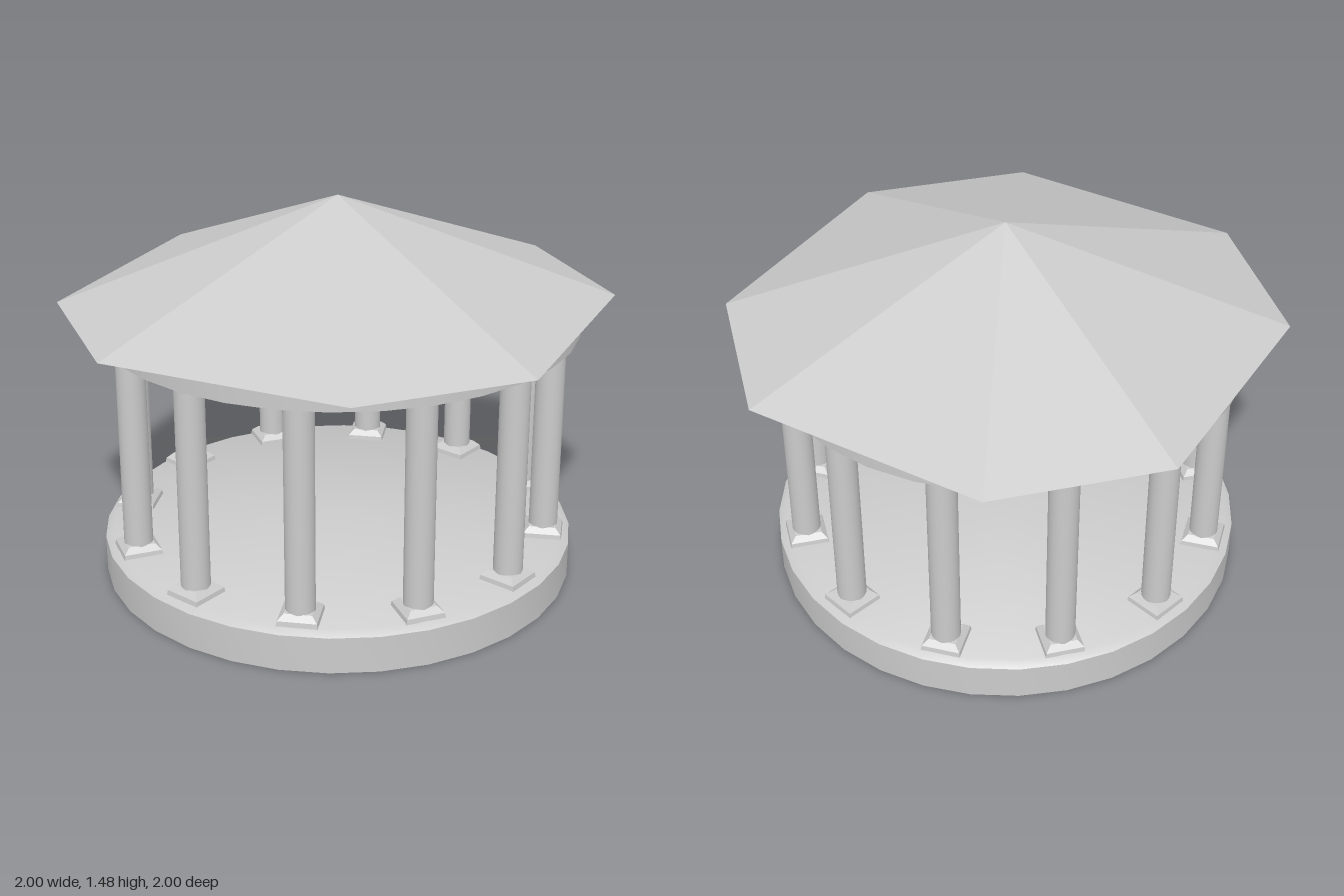
import * as THREE from 'three';
import { toCreasedNormals } from 'three/addons/utils/BufferGeometryUtils.js';

const smooth = new THREE.MeshStandardMaterial({ color: 0xcccccc });
const flat = new THREE.MeshStandardMaterial({ color: 0xcccccc, flatShading: true });
const open = new THREE.MeshStandardMaterial({ color: 0xcccccc, side: THREE.DoubleSide });

function part(name, geometry, material, y = 0) {
  const mesh = new THREE.Mesh(geometry, material);
  mesh.name = name;
  mesh.position.y = y;
  return mesh;
}

// Square block tapering from half-width b to half-width t, centred on the origin
function squareBlock(b, t, height, openEnded = false) {
  return new THREE.CylinderGeometry(t * Math.SQRT2, b * Math.SQRT2, height, 4, 1, openEnded)
    .rotateY(Math.PI / 4);
}

// Column with its square plinth, standing on the floor
function createColumn(index) {
  const column = new THREE.Group();
  column.name = 'column' + index;
  column.add(
    part('shaft', new THREE.CylinderGeometry(0.055, 0.055, 0.82, 20), smooth, 0.59),
    part('plinth', squareBlock(0.075, 0.072, 0.019), flat, 0.1675),
    part('plinthSlope', squareBlock(0.072, 0.051, 0.021), flat, 0.1875),
  );
  return column;
}

// Eight-sided roof whose square outline has its corners cut off
function createRoofGeometry() {
  const geometry = new THREE.ConeGeometry(1, 0.405, 8, 1, false, Math.PI / 8);
  const pos = geometry.attributes.position;
  const snap = (v) => Math.sign(v) * (Math.abs(v) > 0.6 ? 1 : 0.333);
  for (let i = 0; i < pos.count; i++) {
    if (Math.hypot(pos.getX(i), pos.getZ(i)) < 0.5) continue;
    pos.setX(i, snap(pos.getX(i)));
    pos.setZ(i, snap(pos.getZ(i)));
  }
  return geometry;
}

export function createModel() {
  const model = new THREE.Group();
  model.name = 'pavilion';

  // Round platform with a bevelled rim, hollow underneath
  const profile = [[0.915, 0], [0.915, 0.14], [0.885, 0.16], [0, 0.16]]
    .map(([x, y]) => new THREE.Vector2(x, y));
  model.add(part('platform', toCreasedNormals(new THREE.LatheGeometry(profile, 32), 0.7), open));

  // Ring of twelve columns, plinths turned towards the centre
  const count = 12;
  for (let i = 0; i < count; i++) {
    const angle = (i / count) * Math.PI * 2;
    const column = createColumn(i + 1);
    column.position.set(Math.sin(angle) * 0.81, 0, Math.cos(angle) * 0.81);
    column.rotation.y = angle;
    model.add(column);
  }

  // Round entablature and the roof above it
  model.add(part('entablature', new THREE.CylinderGeometry(0.915, 0.915, 0.075, 32), smooth, 1.0325));
  model.add(part('roof', createRoofGeometry(), flat, 1.2725));

  return model;
}
